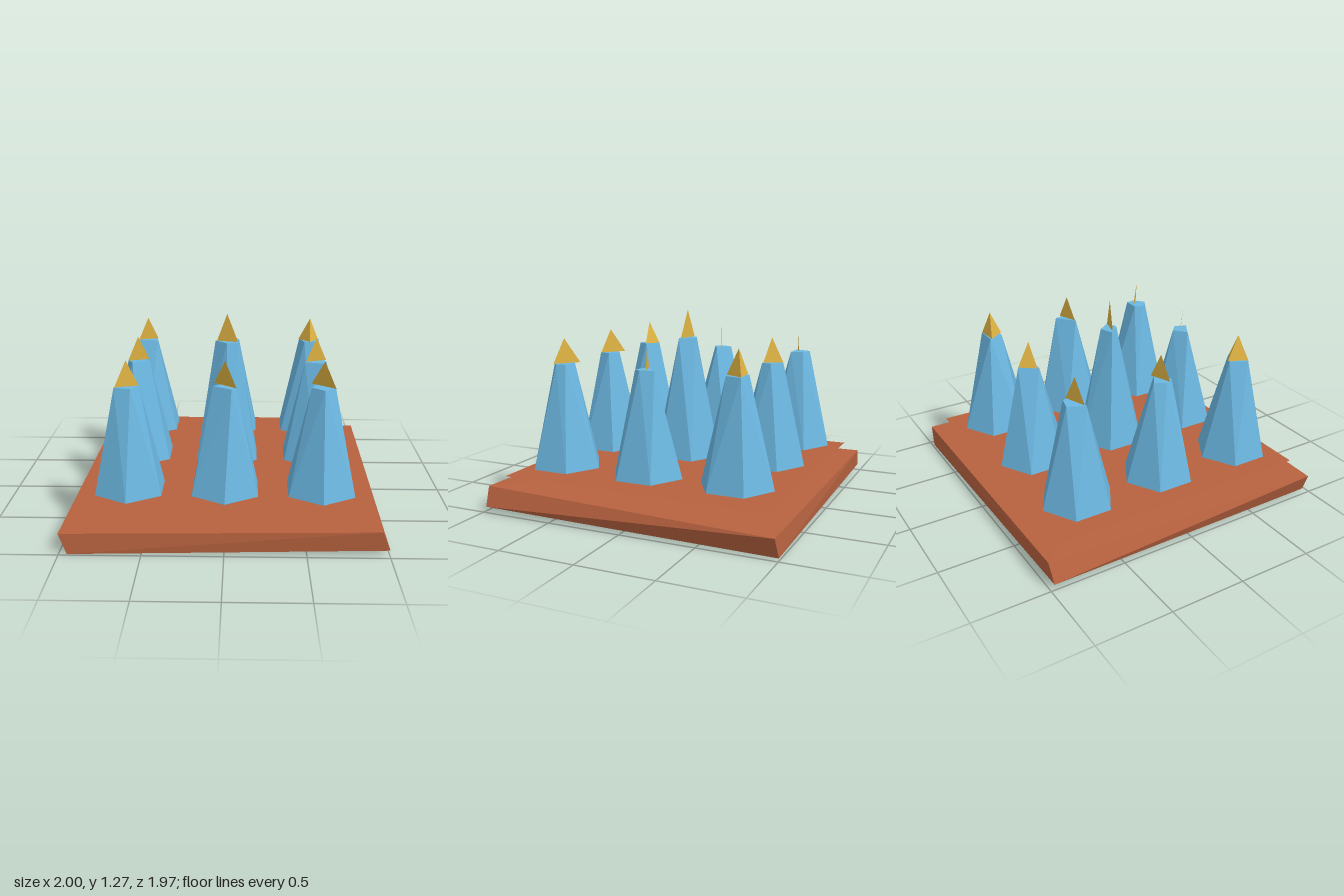
import * as THREE from 'three';
import { ConvexGeometry } from 'three/addons/geometries/ConvexGeometry.js';

const paint = (color) => new THREE.MeshStandardMaterial({ color, flatShading: true, side: THREE.DoubleSide });
const clay = paint(0xb8623f), blue = paint(0x6cb8e2), gold = paint(0xe0b443);
const at = (y) => ([x, z]) => new THREE.Vector3(x, y, z);

function part(name, geometry, material) {
  const mesh = new THREE.Mesh(geometry, material);
  mesh.name = name;
  return mesh;
}

// Three-cornered tips are closed; two-cornered ones are a single flat blade
function tipGeometry(corners, y0, y1) {
  const points = [...corners.map(at(y0)), new THREE.Vector3(0, y1, 0)];
  if (corners.length > 2) return new ConvexGeometry(points);
  const g = new THREE.BufferGeometry().setFromPoints(points);
  g.computeVertexNormals();
  return g;
}

export function createModel() {
  const model = new THREE.Group();

  // Base slab: alternate corners are pulled outward or up and down
  const corners = [];
  for (const sx of [-1, 1]) for (const sz of [-1, 1]) {
    const high = sx === sz;
    corners.push(new THREE.Vector3(sx * (high ? 0.95 : 1), high ? 0.165 : 0.13, sz * (high ? 0.987 : 0.977)));
    corners.push(new THREE.Vector3(sx * (high ? 1 : 0.95), high ? 0.04 : 0, sz * (high ? 0.977 : 0.987)));
  }
  model.add(part('baseSlab', new ConvexGeometry(corners), clay));

  // Thin sheet hovering over the slab
  const sheet = part('topSheet', new THREE.PlaneGeometry(1.79, 1.79).rotateX(-Math.PI / 2), clay);
  sheet.position.y = 0.227;
  model.add(sheet);

  // Tip footprints
  const blade = [[-0.07, 0.025], [0.07, -0.025]];
  const turnedBlade = [[-0.07, -0.075], [0.07, 0.04]];

  // Column, row, corners of the spire's top, corners of its tip
  const spires = [
    [-1, -1, [[-0.03, -0.075], [0.06, -0.05], [0.07, 0.035], [-0.075, 0.035]], blade],
    [0, -1, [[0, -0.08], [0.075, -0.02], [0.06, 0.045], [-0.07, 0.035]], [[-0.075, 0.02], [0, -0.08], [0.065, 0.035]]],
    [1, -1, [[-0.075, -0.04], [0.07, -0.04], [0.04, 0.065], [-0.04, 0.06]], [[-0.08, -0.03], [0.065, -0.04], [0, 0.075]]],
    [-1, 0, [[-0.03, -0.07], [0.075, 0.005], [-0.035, 0.06], [-0.07, 0]], blade],
    [0, 0, [[-0.08, -0.03], [0.01, -0.065], [0.08, 0.03], [0, 0.05]], [[-0.07, -0.02], [0.07, 0.02]]],
    [1, 0, [[0.045, -0.07], [0.07, 0.02], [0.04, 0.065], [-0.075, 0.03]], blade],
    [-1, 1, [[-0.075, 0.035], [-0.02, -0.075], [0.075, -0.01], [0.03, 0.065]], [[-0.07, 0.04], [0.075, -0.005], [-0.01, -0.08]]],
    [0, 1, [[-0.075, -0.01], [0.01, -0.075], [0.07, -0.02], [0.04, 0.06]], turnedBlade],
    [1, 1, [[-0.05, -0.045], [0.06, -0.045], [0.07, 0.02], [0, 0.075], [-0.075, 0.01]], turnedBlade],
  ];

  // Hexagonal foot shared by all spires
  const foot = Array.from({ length: 6 }, (_, i) => {
    const a = i * Math.PI / 3;
    return [0.239 * Math.sin(a), 0.239 * Math.cos(a)];
  });

  for (const [col, row, top, tip] of spires) {
    const tall = col === 0 && row === 0;
    const topY = tall ? 1.08 : 0.947, tipY = tall ? 1.27 : 1.11;
    const group = new THREE.Group();
    group.name = 'spire';
    group.position.set(col * 0.604, 0, row * 0.604);
    group.add(part('spireBody', new ConvexGeometry([...foot.map(at(0.268)), ...top.map(at(topY))]), blue));
    group.add(part('spireTip', tipGeometry(tip, topY + 0.002, tipY), gold));
    model.add(group);
  }
  return model;
}
